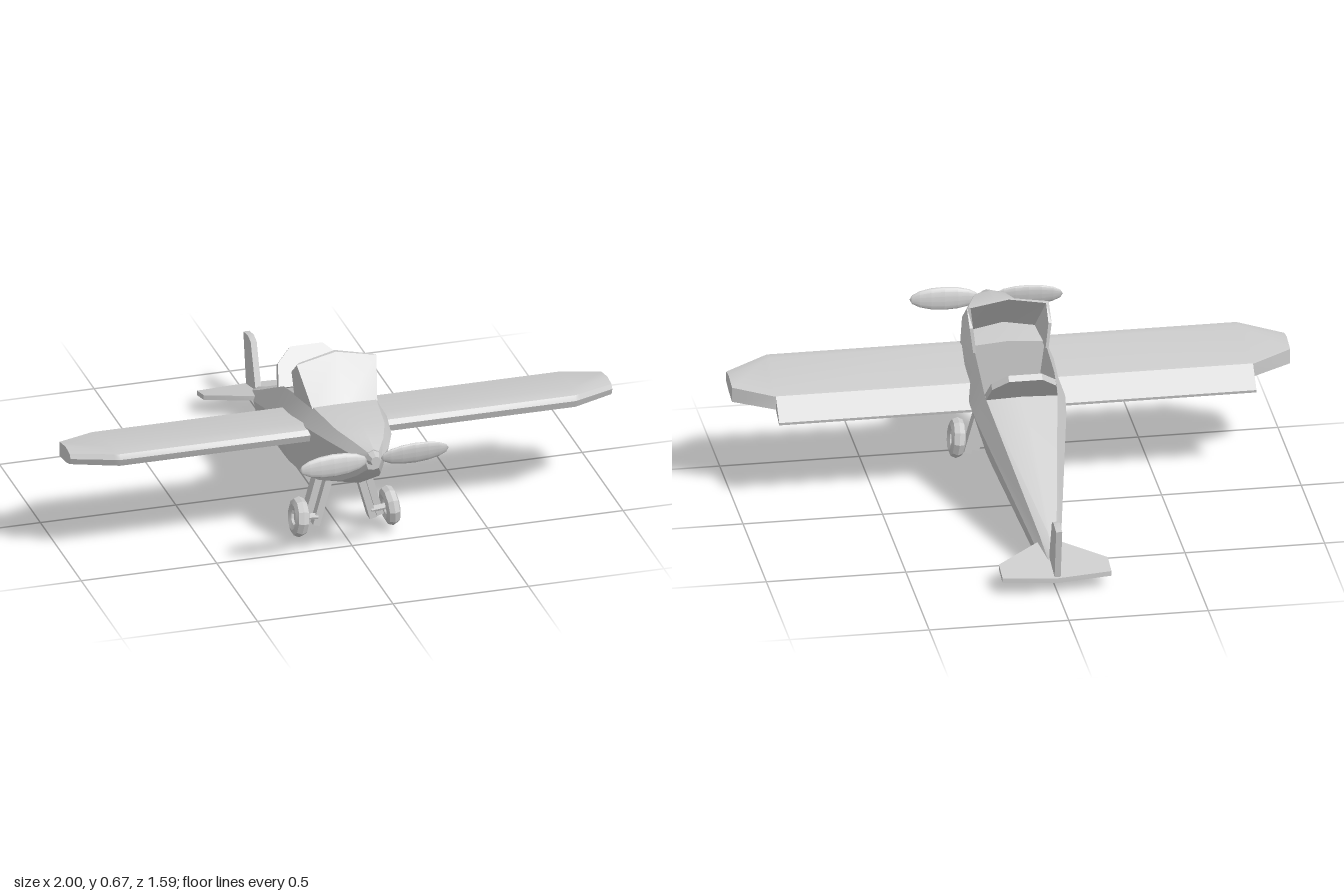
import * as THREE from 'three';
import { toCreasedNormals } from 'three/addons/utils/BufferGeometryUtils.js';

const material = new THREE.MeshStandardMaterial({ color: 0xcccccc });
const doubleSided = new THREE.MeshStandardMaterial({ color: 0xcccccc, side: THREE.DoubleSide });

function part(name, geometry, parent, mat = material) {
  const mesh = new THREE.Mesh(toCreasedNormals(geometry, 0.5), mat);
  mesh.name = name;
  parent.add(mesh);
  return mesh;
}

// Skin between rings of [x, y, z]; skip(i, k) leaves a quad out.
function loft(rings, { closed = true, caps = true, skip = () => false } = {}) {
  const n = rings[0].length;
  const index = [];
  for (let i = 0; i < rings.length - 1; i++) {
    for (let k = 0; k < (closed ? n : n - 1); k++) {
      if (skip(i, k)) continue;
      const a = i * n + k, b = i * n + (k + 1) % n;
      index.push(a, b, a + n, b, b + n, a + n);
    }
  }
  if (caps) {
    const last = (rings.length - 1) * n;
    for (let k = 1; k < n - 1; k++) index.push(0, k + 1, k, last, last + k, last + k + 1);
  }
  const g = new THREE.BufferGeometry();
  g.setAttribute('position', new THREE.Float32BufferAttribute(rings.flat(2), 3));
  g.setIndex(index);
  return g;
}

function extrude(points, depth) {
  const shape = new THREE.Shape(points.map(p => new THREE.Vector2(...p)));
  const g = new THREE.ExtrudeGeometry(shape, { depth, bevelEnabled: false });
  return g.translate(0, 0, -depth / 2);
}

// z, deck y, deck half width, widest y, widest half width, chine y, chine half width, keel y
const stations = [
  [0.76, 0.485, 0.02, 0.455, 0.03, 0.42, 0.02, 0.415],
  [0.7, 0.505, 0.055, 0.465, 0.075, 0.37, 0.045, 0.36],
  [0.6, 0.513, 0.09, 0.468, 0.115, 0.31, 0.07, 0.293],
  [0.42, 0.515, 0.115, 0.45, 0.152, 0.235, 0.10, 0.213],
  [0.28, 0.5, 0.128, 0.42, 0.165, 0.2, 0.115, 0.175],
  [0.1, 0.46, 0.132, 0.36, 0.172, 0.165, 0.112, 0.14],
  [0.02, 0.42, 0.13, 0.33, 0.162, 0.15, 0.105, 0.122],
  [-0.56, 0.13, 0.03, 0.09, 0.045, 0.022, 0.03, 0],
  [-0.66, 0.085, 0.018, 0.08, 0.022, 0.074, 0.018, 0.07],
];

function buildFuselage(group) {
  const rings = stations.map(([z, dy, dx, wy, wx, cy, cx, ky]) => [
    [0, dy + 0.01, z], [dx, dy, z], [wx, wy, z], [cx, cy, z],
    [0, ky, z], [-cx, cy, z], [-wx, wy, z], [-dx, dy, z],
  ]);
  // The deck is left open over the cockpit
  const open = (i, k) => (i === 4 || i === 5) && (k === 0 || k === 7);
  part('fuselage', loft(rings, { skip: open }), group, doubleSided);

  // Cockpit tub, seat and stick
  const tub = stations.slice(4, 7).map(([z, dy, dx]) => [
    [-dx, dy, z], [-dx + 0.03, 0.27, z], [dx - 0.03, 0.27, z], [dx, dy, z], [0, dy + 0.01, z],
  ]);
  part('cockpitTub', loft(tub, { skip: (i, k) => k > 2 }), group, doubleSided);
  part('seat', new THREE.BoxGeometry(0.16, 0.03, 0.1), group).position.set(0, 0.3, 0.09);
  part('controlStick', new THREE.CylinderGeometry(0.006, 0.006, 0.1, 6), group).position.set(0, 0.32, 0.2);
}

function buildCanopy(group) {
  // Windscreen columns: bottom point, top point
  const half = [[[0.135, 0.49, 0.24], [0.147, 0.585, 0.245]], [[0.12, 0.51, 0.41], [0.147, 0.64, 0.31]]];
  const mirror = column => column.map(([x, y, z]) => [-x, y, z]);
  const columns = [...half, [[0, 0.522, 0.43], [0, 0.668, 0.3]], mirror(half[1]), mirror(half[0])];
  const inner = ([x, y, z], i) => [x * 0.92, y, i % 4 ? z - 0.015 : z];
  const rings = columns.map(([b, t], i) => [b, t, inner(t, i), inner(b, i)]);
  part('windscreen', loft(rings), group, doubleSided);

  // Leaning back panel behind the pilot
  const rest = extrude([[-0.13, -0.01], [0.13, -0.01], [0.115, 0.08], [0.06, 0.135], [-0.06, 0.135], [-0.115, 0.08]], 0.025);
  const headrest = part('headrest', rest, group);
  headrest.position.set(0, 0.42, 0.015);
  headrest.rotation.x = -0.69;
}

function buildWing(side) {
  const wing = new THREE.Group();
  wing.name = side > 0 ? 'leftWing' : 'rightWing';
  wing.scale.x = side;
  const top = z => 0.41 + (z - 0.165) * 0.19;
  const bottom = z => 0.36 + (z - 0.165) * 0.12;
  const section = (x, lead, trail) => [
    [x, top(trail), trail], [x, top(lead - 0.06), lead - 0.06], [x, top(lead) - 0.018, lead - 0.012],
    [x, (top(lead) + bottom(lead)) / 2, lead], [x, bottom(lead) + 0.008, lead - 0.01],
    [x, bottom(lead - 0.06), lead - 0.06], [x, bottom(trail), trail],
  ];
  part('wingPanel', loft([
    section(0.14, 0.455, 0.165), section(0.84, 0.455, 0.165),
    section(0.86, 0.445, 0.165), section(1, 0.37, 0.235),
  ]), wing);
  const flap = x => [[x, 0.34, 0.09], [x, 0.41, 0.165], [x, 0.36, 0.165], [x, 0.33, 0.092]];
  part('flap', loft([flap(0.15), flap(0.855)]), wing);
  return wing;
}

function buildTail(group) {
  const outline = [[0, 0.55], [0.04, 0.56], [0.195, 0.67], [0.195, 0.75], [0, 0.77], [-0.195, 0.75], [-0.195, 0.67], [-0.04, 0.56]];
  const plane = extrude(outline, 0.018).rotateX(-Math.PI / 2);
  const p = plane.attributes.position;
  // Slope the tailplane down towards the rear
  for (let i = 0; i < p.count; i++) p.setY(i, p.getY(i) + 0.076 + (p.getZ(i) + 0.66) * 0.23);
  part('tailplane', plane, group);

  const fin = extrude([[-0.64, 0.075], [-0.76, 0.05], [-0.795, 0.25], [-0.74, 0.26], [-0.705, 0.25]], 0.022).rotateY(-Math.PI / 2);
  part('fin', fin, group);
}

function buildLandingGear(side) {
  const gear = new THREE.Group();
  gear.name = side > 0 ? 'leftLandingGear' : 'rightLandingGear';
  gear.scale.x = side;
  for (const [x, z] of [[0.08, 0.39], [0.112, 0.37]]) {
    const leg = part('leg', new THREE.BoxGeometry(0.026, 0.19, 0.045), gear);
    leg.position.set(x, 0.145, z);
    leg.rotation.z = 0.27;
  }
  const wheel = new THREE.Group();
  wheel.name = 'wheel';
  wheel.position.set(0.168, 0.092, 0.403);
  wheel.rotation.z = 0.1;
  part('tyre', new THREE.TorusGeometry(0.047, 0.026, 8, 10).rotateY(Math.PI / 2), wheel);
  part('hub', new THREE.CylinderGeometry(0.035, 0.035, 0.02, 10).rotateZ(Math.PI / 2), wheel);
  const axle = part('axle', new THREE.CylinderGeometry(0.012, 0.012, 0.07, 8).rotateZ(Math.PI / 2), wheel);
  axle.position.x = -0.035;
  gear.add(wheel);
  return gear;
}

function buildPropeller() {
  const propeller = new THREE.Group();
  propeller.name = 'propeller';
  propeller.position.set(0, 0.462, 0.77);
  part('spinner', new THREE.CylinderGeometry(0.018, 0.032, 0.04, 8).rotateX(Math.PI / 2), propeller);
  for (const side of [1, -1]) {
    const blade = part('blade', new THREE.SphereGeometry(1, 14, 8).rotateZ(Math.PI / 2), propeller);
    blade.scale.set(0.125, 0.042, 0.014);
    blade.position.x = side * 0.15;
    blade.rotation.x = side * 0.15;
  }
  propeller.rotation.z = 0.03;
  return propeller;
}

export function createModel() {
  const model = new THREE.Group();
  model.name = 'airplane';
  buildFuselage(model);
  buildCanopy(model);
  buildTail(model);
  for (const side of [1, -1]) model.add(buildWing(side), buildLandingGear(side));
  model.add(buildPropeller());
  return model;
}
